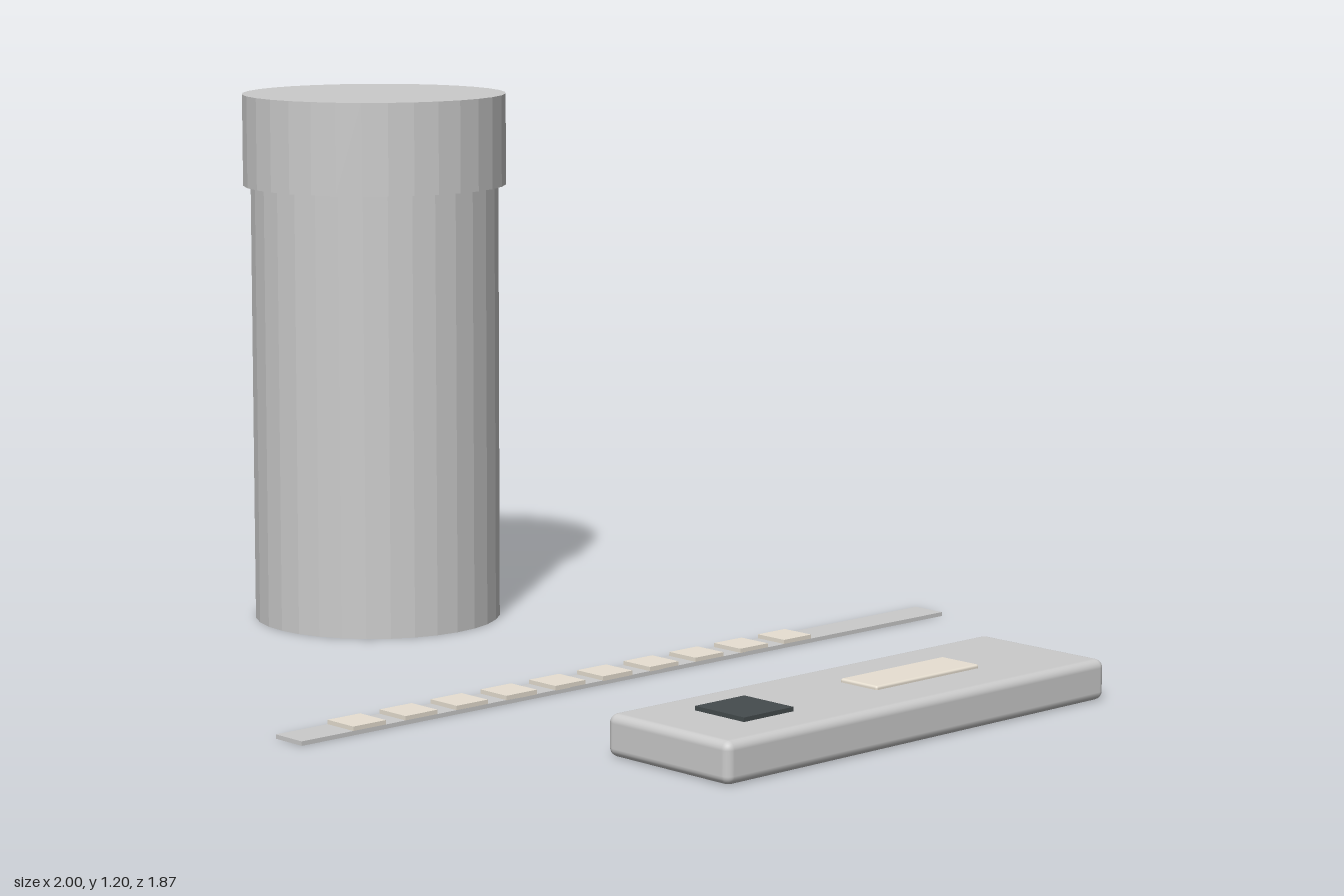
import * as THREE from 'three';
import { RoundedBoxGeometry } from 'three/addons/geometries/RoundedBoxGeometry.js';

const grey = new THREE.MeshStandardMaterial({ color: 0xcccccc });
const greyFlat = new THREE.MeshStandardMaterial({ color: 0xcccccc, flatShading: true });
const cream = new THREE.MeshStandardMaterial({ color: 0xe8e0d2 });
const dark = new THREE.MeshStandardMaterial({ color: 0x454c4e });

// Adds a mesh whose underside rests at height y
function place(parent, name, geometry, material, x, y, z) {
  geometry.computeBoundingBox();
  const mesh = new THREE.Mesh(geometry, material);
  mesh.name = name;
  mesh.position.set(x, y - geometry.boundingBox.min.y, z);
  parent.add(mesh);
  return mesh;
}

function group(parent, name) {
  const g = new THREE.Group();
  g.name = name;
  parent.add(g);
  return g;
}

export function createModel() {
  const model = new THREE.Group();
  model.name = 'testKit';

  // Storage bottle: plain tube with a wider cap
  const bottle = group(model, 'bottle');
  place(bottle, 'bottleBody', new THREE.CylinderGeometry(0.28, 0.28, 0.99, 32), greyFlat, -0.703, 0, 0);
  place(bottle, 'bottleCap', new THREE.CylinderGeometry(0.297, 0.297, 0.205, 32), greyFlat, -0.703, 0.99, 0);

  // Test strip with a row of ten reagent pads
  const strip = group(model, 'testStrip');
  place(strip, 'stripBacking', new THREE.BoxGeometry(0.082, 0.009, 1.87), grey, 0.149, 0, 0);
  for (let i = 0; i < 10; i++) {
    place(strip, 'reagentPad' + (i + 1), new THREE.BoxGeometry(0.082, 0.01, 0.085), cream,
      0.149, 0.008, -0.463 + i * 0.136);
  }

  // Test cassette with a result window and a sample well
  const cassette = group(model, 'cassette');
  place(cassette, 'cassetteBody', new RoundedBoxGeometry(0.338, 0.086, 1.1, 3, 0.018), grey, 0.828, 0, 0);
  place(cassette, 'resultWindow', new RoundedBoxGeometry(0.102, 0.014, 0.306, 2, 0.005), cream, 0.827, 0.08, -0.138);
  place(cassette, 'sampleWell', new THREE.BoxGeometry(0.136, 0.014, 0.136), dark, 0.827, 0.081, 0.338);

  return model;
}
